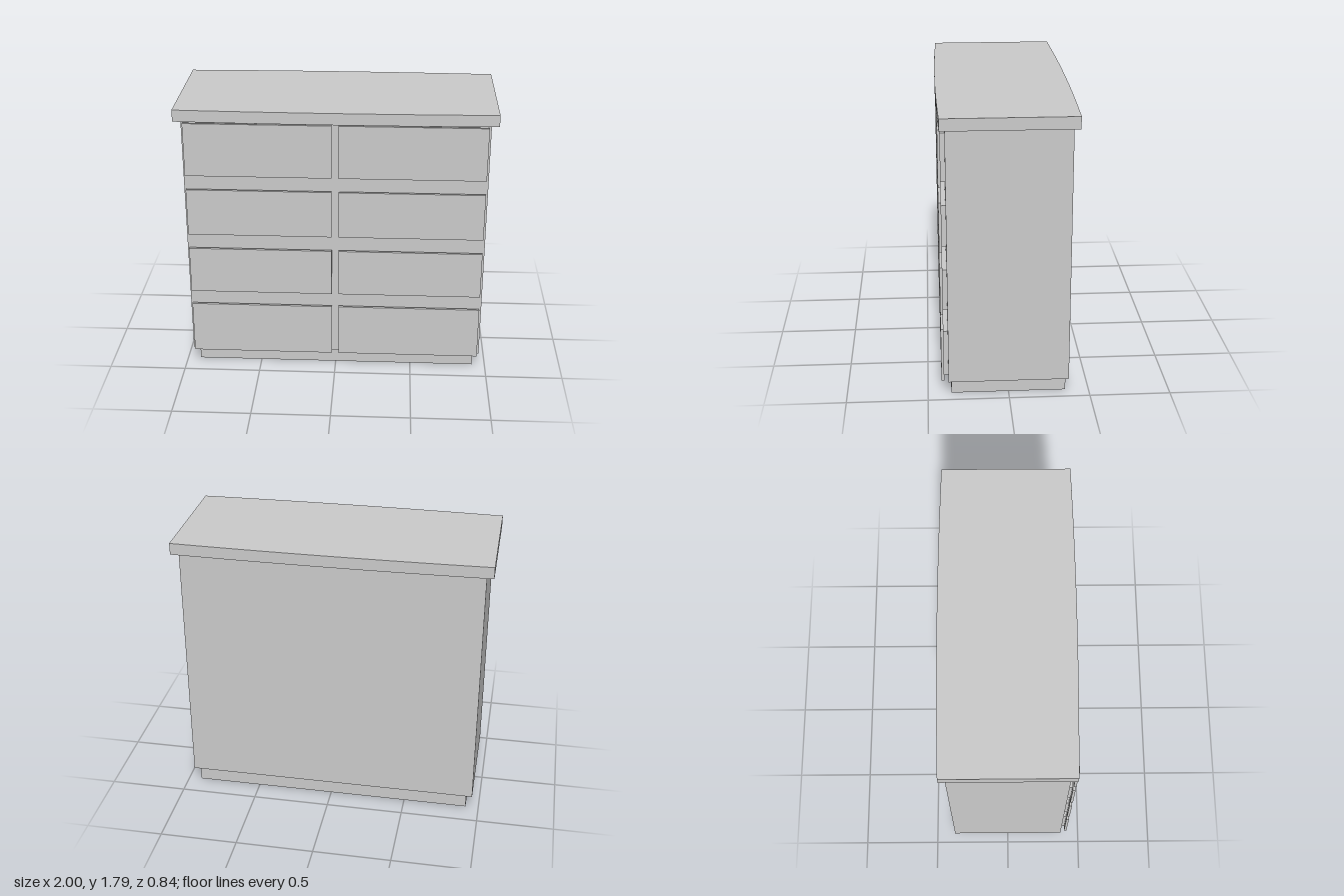
import * as THREE from 'three';

const material = new THREE.MeshStandardMaterial({ color: 0xcccccc, flatShading: true });

// Box given by its min and max corners
function box(name, [x0, y0, z0], [x1, y1, z1]) {
  const geometry = new THREE.BoxGeometry(x1 - x0, y1 - y0, z1 - z0);
  geometry.translate((x0 + x1) / 2, (y0 + y1) / 2, (z0 + z1) / 2);
  const mesh = new THREE.Mesh(geometry, material);
  mesh.name = name;
  return mesh;
}

// Worktop slab whose front and back edges bow gently outwards
function bowedTop(y0, y1) {
  const segments = 16, edge = 0.405, bow = 0.015;
  const outline = [];
  for (const side of [1, -1]) {
    for (let i = 0; i <= segments; i++) {
      const x = side * (1 - (2 * i) / segments);
      outline.push(new THREE.Vector2(x, side * (edge + bow * (1 - x * x))));
    }
  }
  const geometry = new THREE.ExtrudeGeometry(new THREE.Shape(outline), { depth: y1 - y0, bevelEnabled: false });
  geometry.rotateX(-Math.PI / 2).translate(0, y0, 0);
  const mesh = new THREE.Mesh(geometry, material);
  mesh.name = 'top';
  return mesh;
}

export function createModel() {
  const model = new THREE.Group();
  model.name = 'chestOfDrawers';

  model.add(
    box('plinth', [-0.915, 0, -0.355], [0.915, 0.095, 0.355]),
    box('carcass', [-0.955, 0.095, -0.372], [0.955, 1.715, 0.372]),
    bowedTop(1.715, 1.79)
  );

  // Four rows of paired drawers: a front panel on a smaller backing block
  const rows = [[0.1, 0.45], [0.545, 0.855], [0.955, 1.265], [1.36, 1.707]];
  const inset = 0.026;
  for (const [bottom, top] of rows) {
    for (const [left, right] of [[-0.94, -0.022], [0.022, 0.94]]) {
      const drawer = new THREE.Group();
      drawer.name = 'drawer';
      drawer.add(
        box('drawerBacking', [left + inset, bottom + inset, 0.372], [right - inset, top - inset, 0.398]),
        box('drawerFront', [left, bottom, 0.398], [right, top, 0.415])
      );
      model.add(drawer);
    }
  }
  return model;
}
